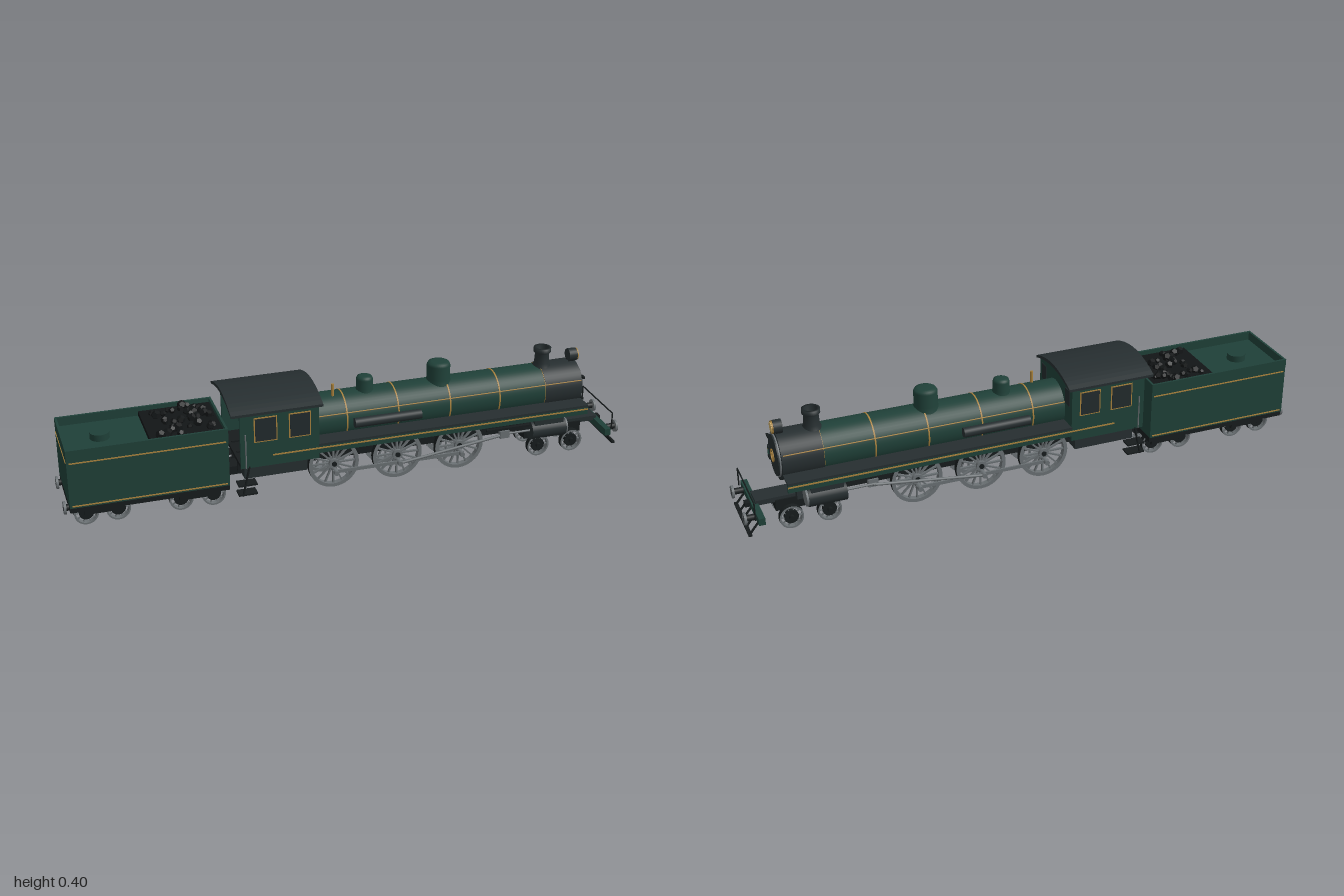
import * as THREE from 'three';

const mat = (name, color, side = THREE.FrontSide) => {
  const m = new THREE.MeshStandardMaterial({ color, side });
  m.name = name;
  return m;
};

export function createModel() {
  const green = mat('dark green', 0x1f4038), charcoal = mat('charcoal', 0x262e30);
  const black = mat('black', 0x171c1d), steel = mat('steel', 0x6a7073);
  const brass = mat('brass', 0xa8813c), lens = mat('lamp lens', 0xc8aa68);
  const coalMat = mat('coal', 0x121516), glass = mat('window glass', 0x222b2d);
  const root = new THREE.Group();
  root.name = 'steamLocomotive';
  const group = (name, parent = root) => {
    const g = new THREE.Group();
    g.name = name;
    parent.add(g);
    return g;
  };
  const add = (p, name, geo, m, x = 0, y = 0, z = 0) => {
    const o = new THREE.Mesh(geo, m);
    o.name = name;
    o.position.set(x, y, z);
    p.add(o);
    return o;
  };
  // box given by its limits
  const box = (p, name, m, x0, x1, y0, y1, z0, z1) => add(p, name,
    new THREE.BoxGeometry(x1 - x0, y1 - y0, z1 - z0), m, (x0 + x1) / 2, (y0 + y1) / 2, (z0 + z1) / 2);
  // cylinder centred at x, y, z along a chosen axis
  const cyl = (p, name, m, axis, r, len, x, y, z, seg = 24) => {
    const g = new THREE.CylinderGeometry(r, r, len, seg);
    if (axis === 'x') g.rotateZ(-Math.PI / 2);
    if (axis === 'z') g.rotateX(Math.PI / 2);
    return add(p, name, g, m, x, y, z);
  };
  const rod = (p, name, m, a, b, r) => {
    const A = new THREE.Vector3(...a), B = new THREE.Vector3(...b), d = B.clone().sub(A);
    const o = add(p, name, new THREE.CylinderGeometry(r, r, d.length(), 8), m);
    o.position.copy(A).add(B).multiplyScalar(0.5);
    o.quaternion.setFromUnitVectors(new THREE.Vector3(0, 1, 0), d.normalize());
  };
  const lathe = (p, name, m, pts, x, y, z, seg = 32) => add(p, name,
    new THREE.LatheGeometry(pts.map(q => new THREE.Vector2(...q)), seg), m, x, y, z);
  // ring lying in the xy plane with square section
  const ring = (r0, r1, depth) => {
    const s = new THREE.Shape().absarc(0, 0, r1, 0, Math.PI * 2);
    s.holes.push(new THREE.Path().absarc(0, 0, r0, 0, Math.PI * 2, true));
    return new THREE.ExtrudeGeometry(s, { depth, bevelEnabled: false, curveSegments: 20 }).translate(0, 0, -depth / 2);
  };

  const sides = [1, -1];
  // spoked wheel pair with axle
  const wheelSet = (p, name, x, r, spokes, weight) => {
    const g = group(name, p);
    g.position.set(x, r, 0);
    for (const s of sides) {
      const w = group('wheel', g);
      w.position.z = s * 0.058;
      add(w, 'tyre', ring(r * 0.86, r, 0.02), steel);
      add(w, 'tread', new THREE.CylinderGeometry(r + 0.0005, r + 0.0005, 0.019, 40, 1, true).rotateX(Math.PI / 2), black);
      cyl(w, 'hub', steel, 'z', r * 0.2, 0.026, 0, 0, 0);
      for (let i = 0; i < spokes; i++) {
        const a = i / spokes * Math.PI * 2;
        const b = box(w, 'spoke', steel, 0, r * 0.72, -r * 0.03, r * 0.03, -0.004, 0.004);
        b.position.set(Math.cos(a) * r * 0.53, Math.sin(a) * r * 0.53, 0);
        b.rotation.z = a;
      }
      if (weight) {
        const sh = new THREE.Shape().absarc(0, 0, r * 0.87, 0.95, 2.2);
        add(w, 'counterweight', new THREE.ExtrudeGeometry(sh, { depth: 0.014, bevelEnabled: false }), steel, 0, 0, -0.007);
        cyl(w, 'crankPin', steel, 'z', 0.009, 0.05, 0, -0.022, s * 0.02);
      } else cyl(w, 'wheelWeb', black, 'z', r * 0.6, 0.012, 0, 0, 0);
    }
    cyl(g, 'axle', black, 'z', 0.009, 0.15, 0, 0, 0, 12);
  };

  // ---- boiler and smokebox
  const boiler = group('boiler'), CY = 0.248;
  cyl(boiler, 'boilerBarrel', green, 'x', 0.082, 0.86, 0.29, CY, 0, 48);
  cyl(boiler, 'smokebox', charcoal, 'x', 0.085, 0.14, 0.785, CY, 0, 48);
  for (const x of [-0.02, 0.165, 0.355, 0.54, 0.716])
    add(boiler, 'boilerBand', new THREE.CylinderGeometry(0.0835, 0.0835, 0.005, 48, 1).rotateZ(Math.PI / 2), brass, x, CY, 0);
  const door = group('smokeboxDoor', boiler);
  door.position.set(0.855, CY, 0);
  door.rotation.y = Math.PI / 2;
  cyl(door, 'doorPlate', charcoal, 'z', 0.07, 0.012, 0, 0, 0.003, 40);
  add(door, 'doorRing', ring(0.071, 0.074, 0.006), steel, 0, 0, 0.002);
  add(door, 'handWheel', new THREE.TorusGeometry(0.021, 0.002, 6, 28), brass, 0, 0, 0.013);
  for (const a of [0, Math.PI / 2]) box(door, 'handWheelBar', brass, -0.021, 0.021, -0.001, 0.001, 0.011, 0.014).rotation.z = a;
  for (const y of [-0.04, 0.04]) box(door, 'hinge', black, -0.075, -0.053, y - 0.004, y + 0.004, 0.005, 0.013);
  for (const s of sides) {
    rod(boiler, 'boilerHandrail', brass, [-0.14, 0.285, s * 0.083], [0.85, 0.285, s * 0.083], 0.002);
    cyl(boiler, 'airReservoir', charcoal, 'x', 0.017, 0.24, 0.12, 0.25, s * 0.096);
  }

  // ---- fittings along the top
  const fit = group('boilerFittings');
  const dome = (name, x, r, top) => lathe(fit, name, green,
    [[r + 0.006, 0.315], [r, 0.335], [r, top - 0.012], [r * 0.9, top - 0.004], [r * 0.6, top], [0, top]], x, 0, 0);
  dome('steamDome', 0.337, 0.041, 0.395);
  dome('sandDome', 0.066, 0.029, 0.378);
  lathe(fit, 'chimney', charcoal, [[0.036, 0.322], [0.027, 0.34], [0.025, 0.375], [0.031, 0.38], [0.031, 0.395], [0.021, 0.395], [0.02, 0.335], [0, 0.335]], 0.73, 0, 0);
  cyl(fit, 'whistle', brass, 'y', 0.005, 0.045, -0.055, 0.348, 0.02, 12);
  box(fit, 'lampBracket', black, 0.83, 0.852, 0.315, 0.335, -0.014, 0.014);
  cyl(fit, 'headlampBody', charcoal, 'x', 0.023, 0.03, 0.845, 0.352, 0);
  cyl(fit, 'headlampRim', brass, 'x', 0.022, 0.006, 0.861, 0.352, 0);
  cyl(fit, 'headlampLens', lens, 'x', 0.018, 0.003, 0.865, 0.352, 0);

  // ---- running boards
  for (const s of sides) {
    const g = group('runningBoard'), z = a => [Math.min(s * a[0], s * a[1]), Math.max(s * a[0], s * a[1])];
    box(g, 'deck', charcoal, -0.14, 0.855, 0.205, 0.213, ...z([0.06, 0.14]));
    box(g, 'valance', green, -0.3, 0.855, 0.178, 0.206, ...z([0.13, 0.139]));
    box(g, 'valanceStripe', brass, -0.3, 0.855, 0.195, 0.2, ...z([0.138, 0.141]));
  }

  // ---- cab
  const cab = group('cab');
  const arc = (w, edge, top) => Array.from({ length: 17 }, (_, i) => {
    const t = i / 8 - 1;
    return new THREE.Vector2(t * w, edge + (top - edge) * (1 - t * t));
  });
  const extrudeX = (pts, x0, x1) => new THREE.ExtrudeGeometry(new THREE.Shape(pts), { depth: x1 - x0, bevelEnabled: false })
    .rotateY(Math.PI / 2).translate(x0, 0, 0);
  add(cab, 'roof', extrudeX([...arc(0.145, 0.353, 0.381).reverse(), ...arc(0.145, 0.362, 0.394)], -0.44, -0.125), charcoal);
  add(cab, 'frontWall', extrudeX([new THREE.Vector2(0.138, 0.165), ...arc(0.138, 0.355, 0.381).reverse(), new THREE.Vector2(-0.138, 0.165)], -0.15, -0.138), green);
  box(cab, 'floor', black, -0.41, -0.14, 0.16, 0.172, -0.135, 0.135);
  cyl(cab, 'backhead', black, 'x', 0.08, 0.05, -0.17, CY, 0, 32);
  for (const s of sides) {
    const side = new THREE.Shape([[-0.41, 0.16], [-0.138, 0.16], [-0.138, 0.357], [-0.41, 0.357]].map(q => new THREE.Vector2(...q)));
    add(cab, 'sideWall', new THREE.ExtrudeGeometry(side, { depth: 0.01, bevelEnabled: false }), green, 0, 0, s * 0.134 - 0.005);
    for (const [x0, x1] of [[-0.363, -0.283], [-0.243, -0.167]]) {
      box(cab, 'windowFrame', brass, x0, x1, 0.252, 0.342, s * 0.1395 - 0.0015, s * 0.1395 + 0.0015);
      box(cab, 'window', glass, x0 + 0.004, x1 - 0.004, 0.256, 0.338, s * 0.14 - 0.002, s * 0.14 + 0.002);
    }
    box(cab, 'frontWindow', glass, -0.139, -0.136, 0.284, 0.342, s * 0.102 - 0.018, s * 0.102 + 0.018);
    rod(cab, 'cabHandrail', steel, [-0.392, 0.16, s * 0.139], [-0.392, 0.285, s * 0.139], 0.0025);
    // steps beneath the doorway
    for (const y of [0.06, 0.095]) box(cab, 'step', black, -0.42, -0.355, y - 0.003, y + 0.003, s * 0.12 - 0.02, s * 0.12 + 0.02);
    rod(cab, 'stepHanger', black, [-0.405, 0.055, s * 0.136], [-0.38, 0.165, s * 0.136], 0.004);
  }

  // ---- main frame, firebox, saddle and front end
  const frame = group('frame');
  for (const s of sides) box(frame, 'framePlate', black, -0.4, 0.68, 0.1, 0.178, s * 0.04 - 0.004, s * 0.04 + 0.004);
  box(frame, 'fireboxBase', black, -0.14, 0.66, 0.165, 0.2, -0.06, 0.06);
  box(frame, 'ashpan', charcoal, -0.39, -0.17, 0.1, 0.165, -0.1, 0.1);
  box(frame, 'drawbar', black, -0.46, -0.38, 0.085, 0.115, -0.03, 0.03);
  box(frame, 'cylinderSaddle', charcoal, 0.655, 0.81, 0.1, 0.19, -0.06, 0.06);
  box(frame, 'bogieFrame', black, 0.66, 0.88, 0.06, 0.1, -0.04, 0.04);
  box(frame, 'frontPlatform', charcoal, 0.8, 0.945, 0.092, 0.11, -0.035, 0.035);
  box(frame, 'bufferBeam', green, 0.935, 0.957, 0.075, 0.1, -0.132, 0.132);
  box(frame, 'coupler', black, 0.955, 0.975, 0.08, 0.095, -0.012, 0.012);
  box(frame, 'pilotBar', black, 0.978, 0.99, 0.027, 0.034, -0.11, 0.11);
  for (const z of [-0.1, -0.05, 0, 0.05, 0.1]) rod(frame, 'pilotStrut', black, [0.945, 0.08, z], [0.985, 0.03, z], 0.004);
  rod(frame, 'frontRail', black, [0.965, 0.155, -0.12], [0.965, 0.155, 0.12], 0.0025);
  for (const s of sides) rod(frame, 'frontRailPost', black, [0.965, 0.09, s * 0.12], [0.965, 0.155, s * 0.12], 0.0025);
  const buffers = (p, x, dir) => {
    for (const s of sides) {
      cyl(p, 'bufferStem', black, 'x', 0.011, 0.04, x - dir * 0.02, 0.087, s * 0.09, 16);
      cyl(p, 'bufferHead', steel, 'x', 0.022, 0.008, x - dir * 0.004, 0.087, s * 0.09);
    }
  };
  buffers(frame, 0.998, 1);

  // ---- wheels, cylinders and rods
  const gear = group('runningGear'), drivers = [-0.065, 0.167, 0.398];
  drivers.forEach(x => wheelSet(gear, 'drivingWheels', x, 0.09, 16, true));
  for (const x of [0.705, 0.835]) wheelSet(gear, 'bogieWheels', x, 0.041, 10, false);
  for (const s of sides) {
    const z = s * 0.086;
    cyl(gear, 'cylinder', charcoal, 'x', 0.033, 0.13, 0.72, 0.122, s * 0.093);
    cyl(gear, 'cylinderCover', steel, 'x', 0.03, 0.008, 0.788, 0.122, s * 0.093);
    box(gear, 'valveChest', charcoal, 0.665, 0.775, 0.145, 0.178, s * 0.09 - 0.025, s * 0.09 + 0.025);
    box(gear, 'couplingRod', steel, -0.075, 0.408, 0.062, 0.074, z - 0.003, z + 0.003);
    rod(gear, 'mainRod', steel, [0.167, 0.068, s * 0.095], [0.56, 0.12, s * 0.095], 0.005);
    rod(gear, 'pistonRod', steel, [0.55, 0.122, s * 0.095], [0.66, 0.122, s * 0.095], 0.004);
    box(gear, 'crosshead', steel, 0.54, 0.575, 0.108, 0.136, z - 0.003, z + 0.015);
    box(gear, 'slideBar', black, 0.49, 0.66, 0.138, 0.146, z, z + 0.012);
  }

  // ---- tender
  const tender = group('tender'), x0 = -0.98, x1 = -0.447;
  box(tender, 'tank', green, x0, x1, 0.1, 0.28, -0.128, 0.128);
  for (const s of sides) {
    box(tender, 'sideCoaming', green, x0, x1, 0.28, 0.311, s * 0.126 - 0.004, s * 0.126 + 0.004);
    for (const y of [0.108, 0.264]) box(tender, 'sideStripe', brass, x0 + 0.008, x1 - 0.008, y - 0.002, y + 0.002, s * 0.129 - 0.0015, s * 0.129 + 0.0015);
  }
  for (const x of [x0, x1 - 0.008]) box(tender, 'endCoaming', green, x, x + 0.008, 0.28, 0.311, -0.126, 0.126);
  box(tender, 'rearStripe', brass, x0 - 0.002, x0 + 0.001, 0.262, 0.266, -0.12, 0.12);
  box(tender, 'underframe', black, x0, x1, 0.08, 0.1, -0.122, 0.122);
  cyl(tender, 'waterFiller', green, 'y', 0.033, 0.024, -0.85, 0.291, 0);
  buffers(tender, -0.998, -1);
  // coal bed with loose lumps
  box(tender, 'coalBed', coalMat, -0.7, x1 - 0.008, 0.28, 0.297, -0.12, 0.12);
  let seed = 7;
  const rnd = () => (seed = (seed * 16807) % 2147483647) / 2147483647;
  for (let i = 0; i < 36; i++) {
    const lump = add(tender, 'coalLump', new THREE.DodecahedronGeometry(0.011 + rnd() * 0.007), coalMat,
      -0.69 + rnd() * 0.215, 0.3 + rnd() * 0.009, (rnd() - 0.5) * 0.21);
    lump.rotation.set(rnd() * 3, rnd() * 3, rnd() * 3);
  }
  for (const [a, b] of [[-0.922, -0.815], [-0.602, -0.49]]) {
    const bogie = group('tenderBogie', tender);
    for (const x of [a, b]) wheelSet(bogie, 'tenderWheels', x, 0.041, 10, false);
    box(bogie, 'bolster', black, (a + b) / 2 - 0.02, (a + b) / 2 + 0.02, 0.04, 0.085, -0.075, 0.075);
    for (const s of sides) box(bogie, 'bogieSide', black, a - 0.008, b + 0.008, 0.042, 0.06, s * 0.076 - 0.003, s * 0.076 + 0.003);
  }
  return root;
}
